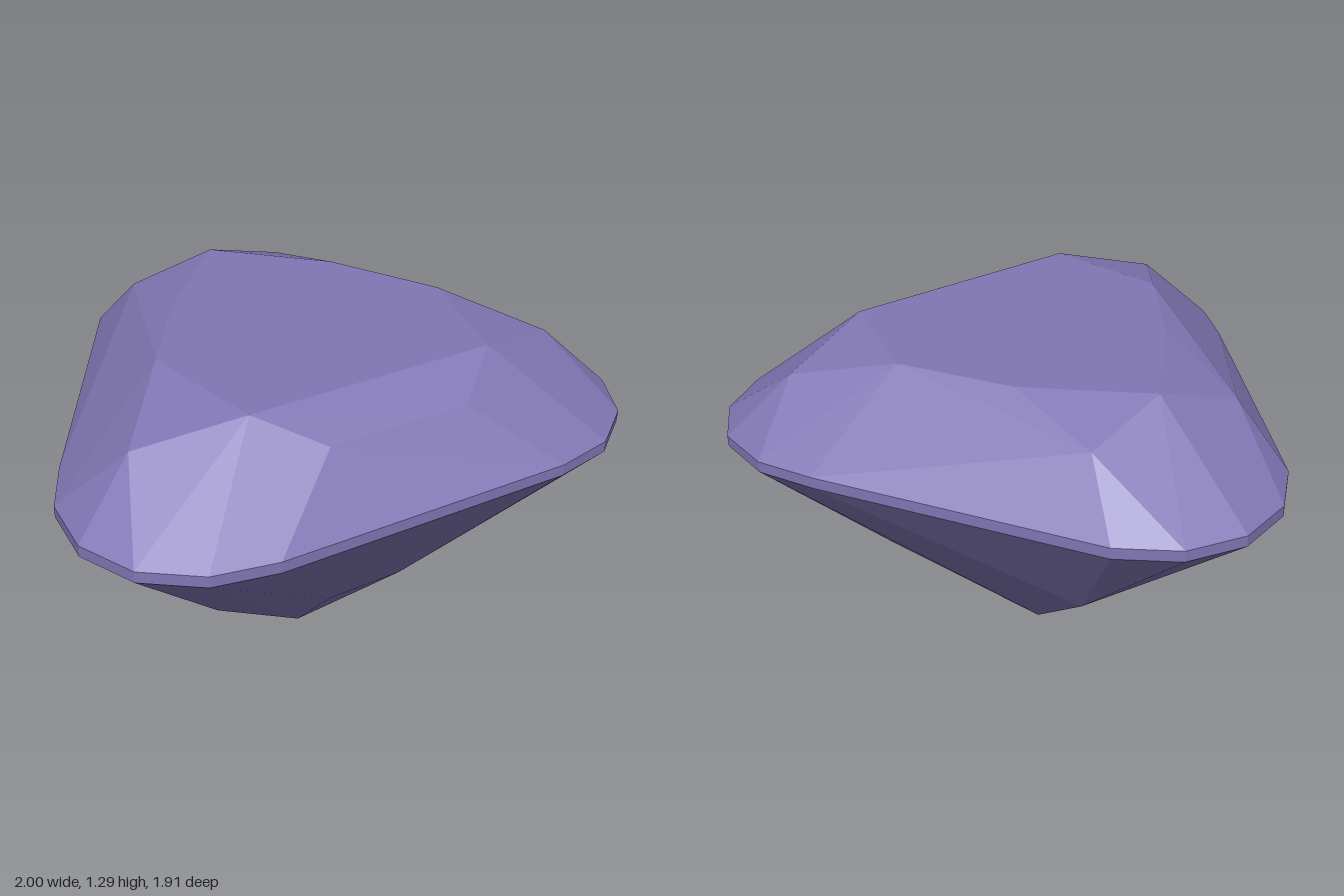
import * as THREE from 'three';
import { ConvexGeometry } from 'three/addons/geometries/ConvexGeometry.js';

const GIRDLE_LOW = 0.95, GIRDLE_TOP = 0.99;

// Rounded triangular outline at the widest level, as [x, z]
const outline = [
  [-0.86, 0.055], [-0.97, 0.24], [-1, 0.46], [-0.925, 0.66], [-0.76, 0.8], [-0.55, 0.86],
  [0.485, 0.95], [0.7, 0.925], [0.88, 0.81], [0.99, 0.63], [1, 0.41], [0.925, 0.21],
  [0.475, -0.73], [0.32, -0.89], [0.12, -0.96], [-0.09, -0.925], [-0.26, -0.8],
];

// Flat table on top
const table = [
  [-0.45, 0.54], [0.43, 0.61], [0.57, 0.19], [0.39, -0.19],
  [0.08, -0.53], [-0.27, -0.21], [-0.51, 0.09],
];

// Corners of the crown facets, between table and girdle
const crownRing = [
  [-0.78, 0.39], [-0.27, 0.705], [0.23, 0.745], [0.785, 0.515], [0.38, -0.54], [-0.21, -0.6],
];

// Corners of the pavilion facets, between girdle and culet
const pavilionRing = [[-0.48, 0.38], [-0.13, 0.54], [0.16, 0.56], [0.51, 0.4], [0.25, -0.36]];

const culet = [[0.025, 0.14]];

const atHeight = (ring, y) => ring.map(([x, z]) => new THREE.Vector3(x, y, z));

// Keep only the triangles whose middle height lies in a range
function slice(source, low, high) {
  const p = source.getAttribute('position');
  const kept = [];
  for (let i = 0; i < p.count; i += 3) {
    const middle = (p.getY(i) + p.getY(i + 1) + p.getY(i + 2)) / 3;
    if (middle < low || middle >= high) continue;
    for (let k = i; k < i + 3; k++) kept.push(p.getX(k), p.getY(k), p.getZ(k));
  }
  const geometry = new THREE.BufferGeometry();
  geometry.setAttribute('position', new THREE.Float32BufferAttribute(kept, 3));
  geometry.computeVertexNormals();
  return geometry;
}

export function createModel() {
  const group = new THREE.Group();
  group.name = 'cutGem';

  const violet = new THREE.MeshStandardMaterial({ color: 0x8177b5 });
  violet.name = 'violet';

  // The facets are the faces of the hull around all rings
  const hull = new ConvexGeometry([
    ...atHeight(table, 1.29),
    ...atHeight(crownRing, 1.2),
    ...atHeight(outline, GIRDLE_TOP),
    ...atHeight(outline, GIRDLE_LOW),
    ...atHeight(pavilionRing, 0.445),
    ...atHeight(culet, 0),
  ]);

  const parts = [
    ['pavilion', -1, GIRDLE_LOW - 0.001],
    ['girdle', GIRDLE_LOW - 0.001, GIRDLE_TOP + 0.001],
    ['crown', GIRDLE_TOP + 0.001, 1.285],
    ['table', 1.285, 2],
  ];
  for (const [name, low, high] of parts) {
    const mesh = new THREE.Mesh(slice(hull, low, high), violet);
    mesh.name = name;
    group.add(mesh);
  }
  return group;
}
